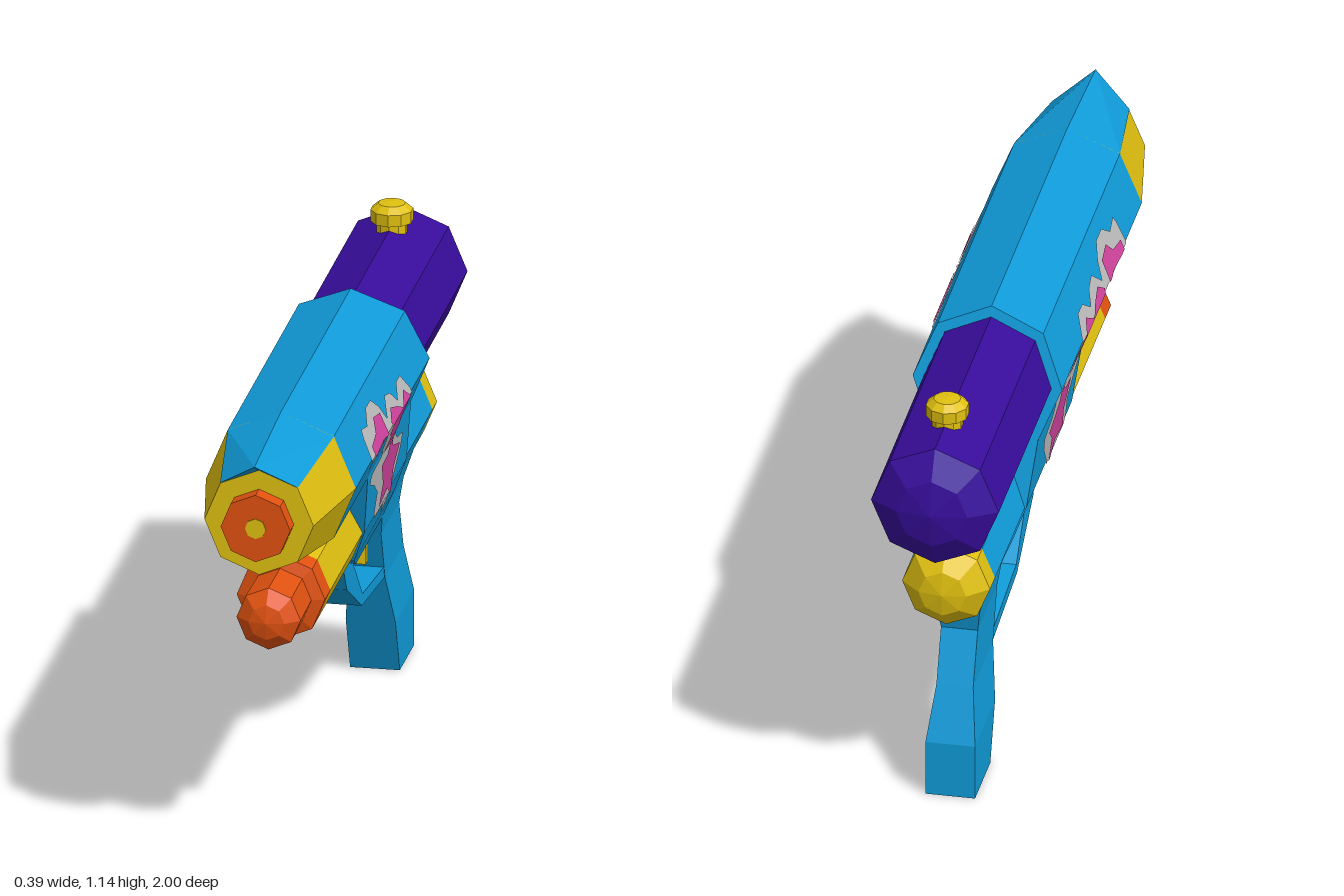
import * as THREE from 'three';
import { mergeGeometries } from 'three/addons/utils/BufferGeometryUtils.js';
import { ConvexGeometry } from 'three/addons/geometries/ConvexGeometry.js';

const paint = (name, color) => Object.assign(new THREE.MeshStandardMaterial({ color }), { name });

export function createModel() {
  const model = new THREE.Group();
  model.name = 'toyWaterBlaster';
  const blue = paint('blue', 0x109cda), yellow = paint('yellow', 0xe0c010);
  const orange = paint('orange', 0xe25210), purple = paint('purple', 0x380d9c);
  const grey = paint('paleGrey', 0xbebebe), pink = paint('pink', 0xd2449f);
  grey.side = pink.side = THREE.DoubleSide;

  // Faceted mesh
  const add = (name, geometry, material) => {
    const g = geometry.index ? geometry.toNonIndexed() : geometry;
    g.computeVertexNormals();
    const mesh = new THREE.Mesh(g, material);
    mesh.name = name;
    model.add(mesh);
    return mesh;
  };
  // Octagonal turned part along z; profile is [radius, z] from back to front
  const turned = (y, profile) =>
    new THREE.LatheGeometry(profile.map(([r, z]) => new THREE.Vector2(r, z)), 8)
      .rotateX(Math.PI / 2).translate(0, y, 0);
  // Stack of rectangular sections; rows are [y, zFront, zBack, halfWidth] from bottom to top
  const stacked = (rows) => {
    const n = rows.length - 1;
    const g = new THREE.BoxGeometry(1, 1, 1, 1, n, 1);
    const p = g.attributes.position;
    for (let i = 0; i < p.count; i++) {
      const [y, zf, zb, w] = rows[Math.round((p.getY(i) + 0.5) * n)];
      p.setXYZ(i, Math.sign(p.getX(i)) * w, y, p.getZ(i) > 0 ? zf : zb);
    }
    return g;
  };

  const barrelY = 0.915, pumpY = 0.62;
  const backZ = (y) => -0.255 - 0.275 * (1.1 - y);

  // Main body with a slanted rear end
  const body = turned(barrelY, [[0, -1], [0.187, -1], [0.187, 0.655]]);
  const bp = body.attributes.position;
  for (let i = 0; i < bp.count; i++) if (bp.getZ(i) < -0.5) bp.setZ(i, backZ(bp.getY(i)));
  add('body', body, blue);

  // Housing between body and pump
  add('housing', stacked([
    [0.46, -0.05, -0.4, 0.052], [0.535, 0.134, -0.395, 0.083], [0.62, 0.164, backZ(0.62), 0.114],
    [0.78, 0.22, backZ(0.78), 0.133], [0.84, 0.22, backZ(0.84), 0.13],
  ]), blue);

  // Front barrel, nozzle and overhanging sight hood
  add('frontBarrel', turned(barrelY, [[0.187, 0.655], [0.136, 0.94], [0, 0.94]]), yellow);
  add('nozzle', turned(barrelY, [[0.087, 0.9], [0.087, 0.986], [0, 0.986]]), orange);
  add('nozzleHole', turned(barrelY, [[0.026, 0.984], [0.026, 0.989], [0, 0.989]]), yellow);
  for (const s of [1, -1]) {
    const hood = [[0, 1.102, 0.655], [0.1325, 1.047, 0.655], [0.097, 1.012, 0.941], [0, 1.08, 1], [0, 1.051, 0.941]];
    add(s > 0 ? 'sightHoodLeft' : 'sightHoodRight',
      new ConvexGeometry(hood.map(([x, y, z]) => new THREE.Vector3(s * x, y, z))), blue);
  }

  // Water tank with domed end and filler cap
  add('tank', turned(barrelY, [[0, -1], [0.09, -0.983], [0.16, -0.94], [0.16, -0.2]]), purple);
  const cap = [[0.038, 1.05], [0.038, 1.085], [0.053, 1.09], [0.053, 1.12], [0.034, 1.136], [0, 1.139]];
  add('fillerCap', new THREE.LatheGeometry(cap.map(([r, y]) => new THREE.Vector2(r, y)), 10)
    .translate(0, 0, -0.79), yellow);

  // Pump tube, front to back
  add('pumpTip', turned(pumpY, [[0.11, 0.585], [0.11, 0.655], [0.078, 0.665], [0.08, 0.815], [0.045, 0.845], [0, 0.855]]), orange);
  add('pumpBar', turned(pumpY, [[0.11, 0], [0.11, 0.585]]), yellow);
  add('rearTube', turned(pumpY, [[0.11, -0.745], [0.11, -0.3]]), blue);
  add('rearCap', turned(pumpY, [[0, -0.864], [0.06, -0.853], [0.11, -0.805], [0.11, -0.745]]), yellow);

  // Grip
  add('grip', stacked([
    [0, -0.57, -0.755, 0.062], [0.145, -0.513, -0.755, 0.062], [0.28, -0.46, -0.7, 0.046],
    [0.41, -0.41, -0.645, 0.046], [0.47, -0.385, -0.66, 0.054], [0.55, -0.36, -0.68, 0.08],
  ]), blue);

  // Trigger guard
  const guard = [[0.1, 0.525], [0.03, 0.42], [-0.165, 0.31], [-0.48, 0.278], [-0.47, 0.308],
    [-0.175, 0.338], [-0.05, 0.462], [-0.05, 0.5]];
  add('triggerGuard', new THREE.ExtrudeGeometry(
    new THREE.Shape(guard.map(([z, y]) => new THREE.Vector2(z, y))), { depth: 0.09, bevelEnabled: false })
    .rotateY(-Math.PI / 2).translate(0.045, 0, 0), blue);

  // Trigger
  add('trigger', new THREE.BoxGeometry(0.034, 0.068, 0.026).translate(0, 0.379, -0.377), yellow);
  add('triggerStem', new THREE.BoxGeometry(0.02, 0.024, 0.07).translate(0, 0.379, -0.415), yellow);

  // Side graphics: flat outlines cut at the body's edges and laid on its facets
  const edges = [[0.535, 0.083], [0.62, 0.114], [0.78, 0.133], [0.915, 0.187], [1.047, 0.132]];
  const clip = (pts, level, keepAbove) => {
    const out = [];
    const inside = (p) => (keepAbove ? p[1] >= level : p[1] <= level);
    pts.forEach((a, i) => {
      const b = pts[(i + 1) % pts.length];
      if (inside(a)) out.push(a);
      if (inside(a) !== inside(b)) {
        const t = (level - a[1]) / (b[1] - a[1]);
        out.push([a[0] + t * (b[0] - a[0]), level]);
      }
    });
    return out;
  };
  const graphic = (name, outline, lift, material) => {
    const pts = outline.map(([z, y]) => [z / 100, y / 100]);
    for (const side of [1, -1]) {
      const strips = [];
      for (let k = 0; k + 1 < edges.length; k++) {
        const [[y0, x0], [y1, x1]] = [edges[k], edges[k + 1]];
        const part = clip(clip(pts, y0, true), y1, false);
        if (part.length < 3) continue;
        const g = new THREE.ShapeGeometry(new THREE.Shape(part.map(([z, y]) => new THREE.Vector2(z, y))));
        const p = g.attributes.position;
        for (let i = 0; i < p.count; i++) {
          const z = p.getX(i), y = p.getY(i);
          p.setXYZ(i, side * (x0 + (x1 - x0) * (y - y0) / (y1 - y0) + lift), y, z);
        }
        strips.push(g);
      }
      add(name + (side > 0 ? 'Left' : 'Right'), mergeGeometries(strips), material);
    }
  };
  graphic('splashBorder', [
    [45, 97], [44, 99], [38.5, 98], [34, 101], [28, 101], [23.5, 98], [21, 94], [16, 98], [11, 97], [7.5, 94],
    [3, 97], [-2, 97], [-6, 92.5], [-6, 86], [-11, 82], [-12, 78.5], [-16.5, 75.5], [-25, 74], [-24, 70.5],
    [-17.5, 64], [-15, 58], [-11, 57], [-6.5, 61.5], [4.5, 61.5], [6.5, 64], [5.5, 69], [12, 73], [19, 75.5],
    [19, 77.5], [9.5, 79.5], [12, 82], [16.5, 83], [20.5, 89.5], [24.5, 90], [32.5, 88.5], [39.5, 89],
    [43, 87.5], [45.5, 92],
  ], 0.003, grey);
  graphic('splashStar', [
    [-6, 81], [-9.5, 76], [-20, 73], [-14.5, 68.5], [-15, 61], [-8.5, 65], [1.5, 63.5], [-0.5, 69], [5, 75.5], [-2.5, 76],
  ], 0.006, pink);
  graphic('splashFront', [
    [42, 94], [35, 95], [32, 98], [25.5, 97], [25, 91.2], [30, 92], [38, 91.6], [42, 91],
  ], 0.006, pink);
  graphic('splashMiddle', [
    [20, 92.5], [16, 95], [10.5, 93.5], [6, 91.7], [1, 94.5], [-3, 91.7], [-1.5, 86], [-6, 83], [-2, 79],
    [4, 80], [10.5, 81], [9.5, 86], [16, 87.5],
  ], 0.006, pink);

  return model;
}
